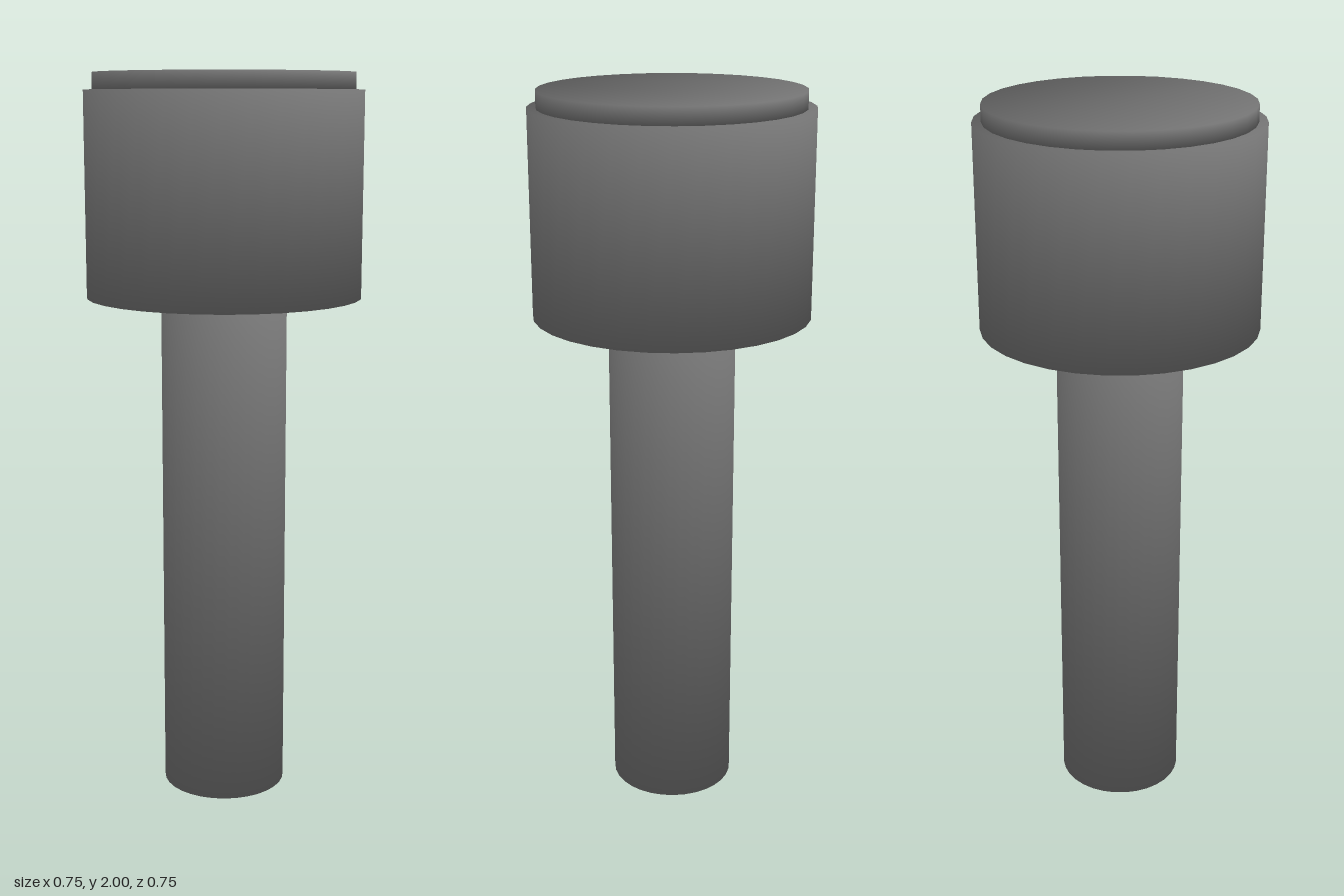
import * as THREE from 'three';

const SIDES = 32;

// Closed round solid: two rings of vertices shared by the wall and the caps,
// so the shading blends smoothly over the rims
function smoothCylinder(name, radius, bottom, top, material) {
  const positions = [], normals = [], indices = [];
  for (let i = 0; i < SIDES; i++) {
    const angle = (i / SIDES) * Math.PI * 2;
    const x = Math.sin(angle), z = Math.cos(angle);
    positions.push(x * radius, bottom, z * radius, x * radius, top, z * radius);
    // Rim normals lean halfway between the wall and the cap
    const s = Math.SQRT1_2;
    normals.push(x * s, -s, z * s, x * s, s, z * s);

    const b = 2 * i, t = b + 1;
    const nextB = 2 * ((i + 1) % SIDES), nextT = nextB + 1;
    indices.push(b, nextB, nextT, b, nextT, t);
    // Cap fans start at the first vertex of each ring
    if (i > 0 && i < SIDES - 1) indices.push(0, nextB, b, 1, t, nextT);
  }
  const geometry = new THREE.BufferGeometry();
  geometry.setAttribute('position', new THREE.Float32BufferAttribute(positions, 3));
  geometry.setAttribute('normal', new THREE.Float32BufferAttribute(normals, 3));
  geometry.setIndex(indices);
  const mesh = new THREE.Mesh(geometry, material);
  mesh.name = name;
  return mesh;
}

export function createModel() {
  const model = new THREE.Group();
  model.name = 'pin';
  const material = new THREE.MeshStandardMaterial({ color: 0x727272 });
  model.add(
    smoothCylinder('shaft', 0.172, 0, 1.406, material),
    smoothCylinder('head', 0.375, 1.406, 1.955, material),
    smoothCylinder('topDisc', 0.351, 1.955, 2, material)
  );
  return model;
}
